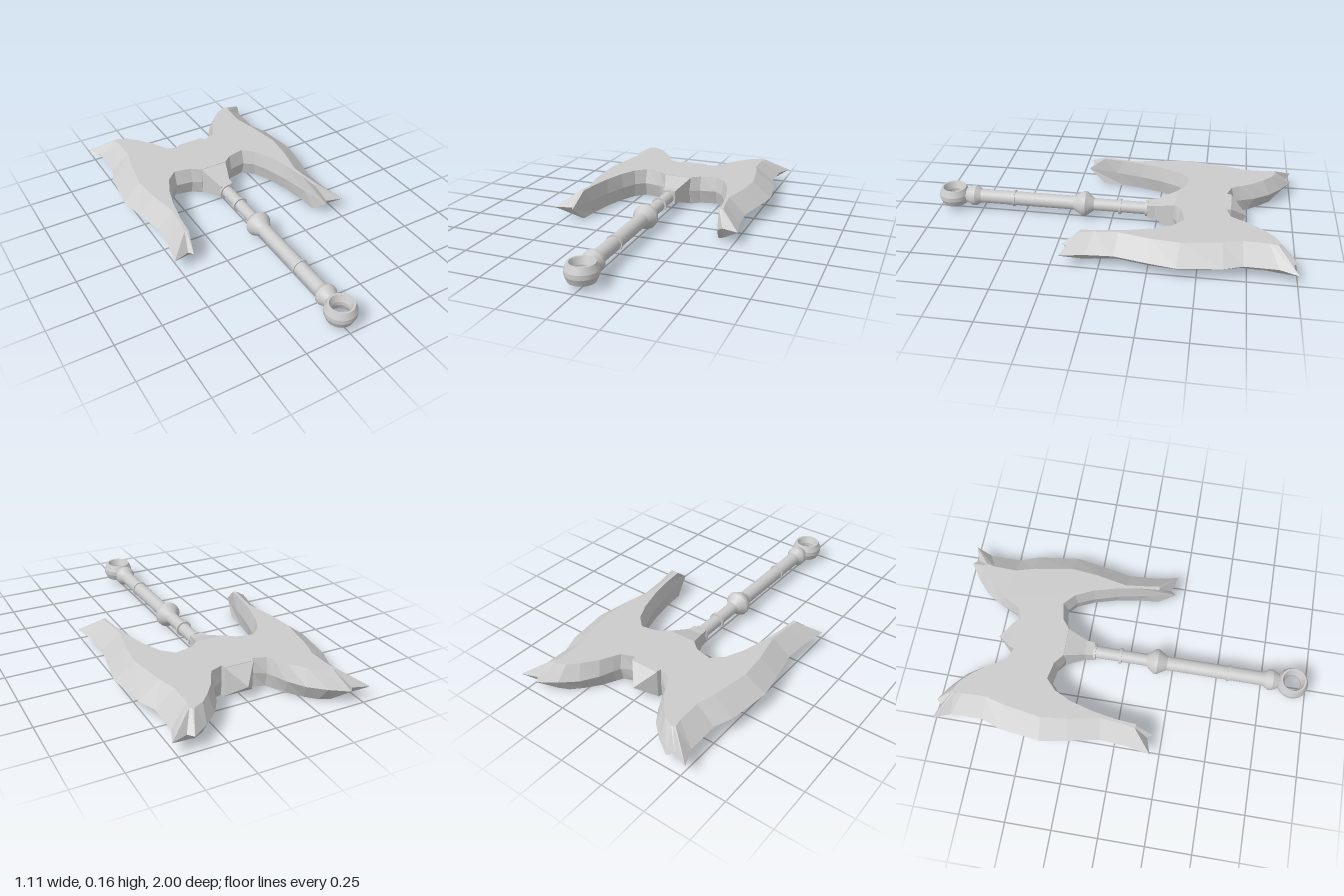
import * as THREE from 'three';

const MID = 0.082, TOP = 0.164;
const mat = new THREE.MeshStandardMaterial({ color: 0xcccccc });
const flat = new THREE.MeshStandardMaterial({ color: 0xcccccc, flatShading: true });

// Half outline of the head: [ridge x, ridge z, plate x, plate z], from back centre round to front centre
const HALF = [
  [0, -0.655, 0, -0.655], [0.08, -0.655, 0.08, -0.655],
  [0.085, -0.635, 0.085, -0.63], [0.15, -0.675, 0.155, -0.655],
  [0.165, -0.71, 0.175, -0.69], [0.195, -0.785, 0.21, -0.755],
  [0.25, -0.87, 0.27, -0.83], [0.33, -0.94, 0.32, -0.88],
  [0.42, -1.0, 0.375, -0.905], [0.445, -0.97, 0.385, -0.902], [0.53, -1.0, 0.395, -0.895],
  [0.49, -0.905, 0.385, -0.85], [0.487, -0.73, 0.382, -0.72],
  [0.525, -0.63, 0.41, -0.62], [0.555, -0.4, 0.445, -0.41],
  [0.53, -0.25, 0.43, -0.26], [0.495, -0.08, 0.395, -0.09], [0.505, 0.07, 0.408, 0.03],
  [0.53, 0.2, 0.42, 0.1], [0.44, 0.172, 0.41, 0.105], [0.42, 0.2, 0.398, 0.105],
  [0.385, 0.03, 0.388, -0.01], [0.355, -0.12, 0.365, -0.14], [0.315, -0.255, 0.33, -0.265],
  [0.275, -0.345, 0.285, -0.36], [0.225, -0.39, 0.225, -0.415],
  [0.13, -0.375, 0.13, -0.395], [0.08, -0.345, 0.08, -0.355], [0, -0.345, 0, -0.355],
];

function add(group, name, geometry, material = mat) {
  const mesh = new THREE.Mesh(geometry, material);
  mesh.name = name;
  group.add(mesh);
  return mesh;
}

// Bevelled solid: flat plate above and below, sharp ridge between them
function headGeometry() {
  const mirrored = HALF.filter(p => p[0] > 0).reverse().map(([a, b, c, d]) => [-a, b, -c, d]);
  const loop = [...HALF, ...mirrored];
  const n = loop.length, pos = [], index = [];
  for (const p of loop) pos.push(p[2], 0, p[3]);
  for (const p of loop) pos.push(p[0], MID, p[1]);
  for (const p of loop) pos.push(p[2], TOP, p[3]);
  for (let r = 0; r < 2; r++) {
    for (let i = 0; i < n; i++) {
      const j = (i + 1) % n, a = r * n, b = a + n;
      index.push(a + i, b + i, b + j, a + i, b + j, a + j);
    }
  }
  const pts = loop.map(p => new THREE.Vector2(p[2], -p[3]));
  for (const [a, b, c] of THREE.ShapeUtils.triangulateShape(pts, [])) {
    const ccw = pts[b].clone().sub(pts[a]).cross(pts[c].clone().sub(pts[a])) > 0;
    const [p, q] = ccw ? [b, c] : [c, b];
    index.push(2 * n + a, 2 * n + p, 2 * n + q, a, q, p);
  }
  const g = new THREE.BufferGeometry();
  g.setAttribute('position', new THREE.Float32BufferAttribute(pos, 3));
  g.setIndex(index);
  const out = g.toNonIndexed();
  out.computeVertexNormals();
  return out;
}

// Four-sided taper along z between two rectangles given by half sizes
function taper(z0, w0, h0, z1, w1, h1) {
  const g = new THREE.BoxGeometry(2, 2, 2).toNonIndexed();
  const p = g.attributes.position;
  for (let i = 0; i < p.count; i++) {
    const end = p.getZ(i) > 0;
    p.setXYZ(i, p.getX(i) * (end ? w1 : w0), MID + p.getY(i) * (end ? h1 : h0), end ? z1 : z0);
  }
  g.computeVertexNormals();
  return g;
}

// Turned part along z, one band per profile segment so that edges stay crisp
function turned(group, name, profile) {
  const part = new THREE.Group();
  part.name = name;
  for (let i = 0; i < profile.length - 1; i++) {
    const [z0, r0] = profile[i], [z1, r1] = profile[i + 1];
    const g = new THREE.LatheGeometry([new THREE.Vector2(r0, z0), new THREE.Vector2(r1, z1)], 24);
    g.rotateX(Math.PI / 2);
    g.translate(0, MID, 0);
    add(part, name + 'Band', g);
  }
  group.add(part);
}

export function createModel() {
  const model = new THREE.Group();
  model.name = 'doubleAxe';

  // Twin-bladed head with its central block, back spike and socket
  add(model, 'axeHead', headGeometry(), flat);
  add(model, 'backSpike', taper(-0.745, 0.001, 0.001, -0.655, 0.08, 0.08), flat);
  add(model, 'socketTaper', taper(-0.356, 0.08, 0.08, -0.245, 0.042, 0.042), flat);
  add(model, 'socketNeck', taper(-0.245, 0.042, 0.042, -0.2, 0.038, 0.038), flat);

  // Shaft and its fittings
  turned(model, 'upperShaft', [[-0.22, 0.034], [0.11, 0.034]]);
  turned(model, 'lowerShaft', [[0.2, 0.039], [0.77, 0.039]]);
  for (const [z, r] of [[-0.195, 0.044], [-0.047, 0.044], [0.56, 0.045]]) {
    turned(model, 'shaftRing', [[z - 0.007, 0.03], [z - 0.007, r], [z + 0.007, r], [z + 0.007, 0.03]]);
  }
  turned(model, 'shaftKnob', [[0.1, 0.034], [0.145, 0.07], [0.163, 0.07], [0.215, 0.039]]);
  turned(model, 'pommelCollar', [[0.752, 0.039], [0.782, 0.058], [0.802, 0.058], [0.838, 0.039], [0.845, 0]]);

  // Pommel ring, standing upright around a through hole
  const ring = new THREE.Group();
  ring.name = 'pommelRing';
  const section = [[0.045, -0.01], [0.06, -0.047], [0.07, -0.047], [0.085, -0.012],
    [0.085, 0.012], [0.07, 0.047], [0.06, 0.047], [0.045, 0.01], [0.045, -0.01]];
  for (let i = 0; i < section.length - 1; i++) {
    const pts = [section[i], section[i + 1]].map(p => new THREE.Vector2(...p));
    add(ring, 'ringBand', new THREE.LatheGeometry(pts, 24));
  }
  ring.position.set(0, MID, 0.914);
  model.add(ring);

  return model;
}
